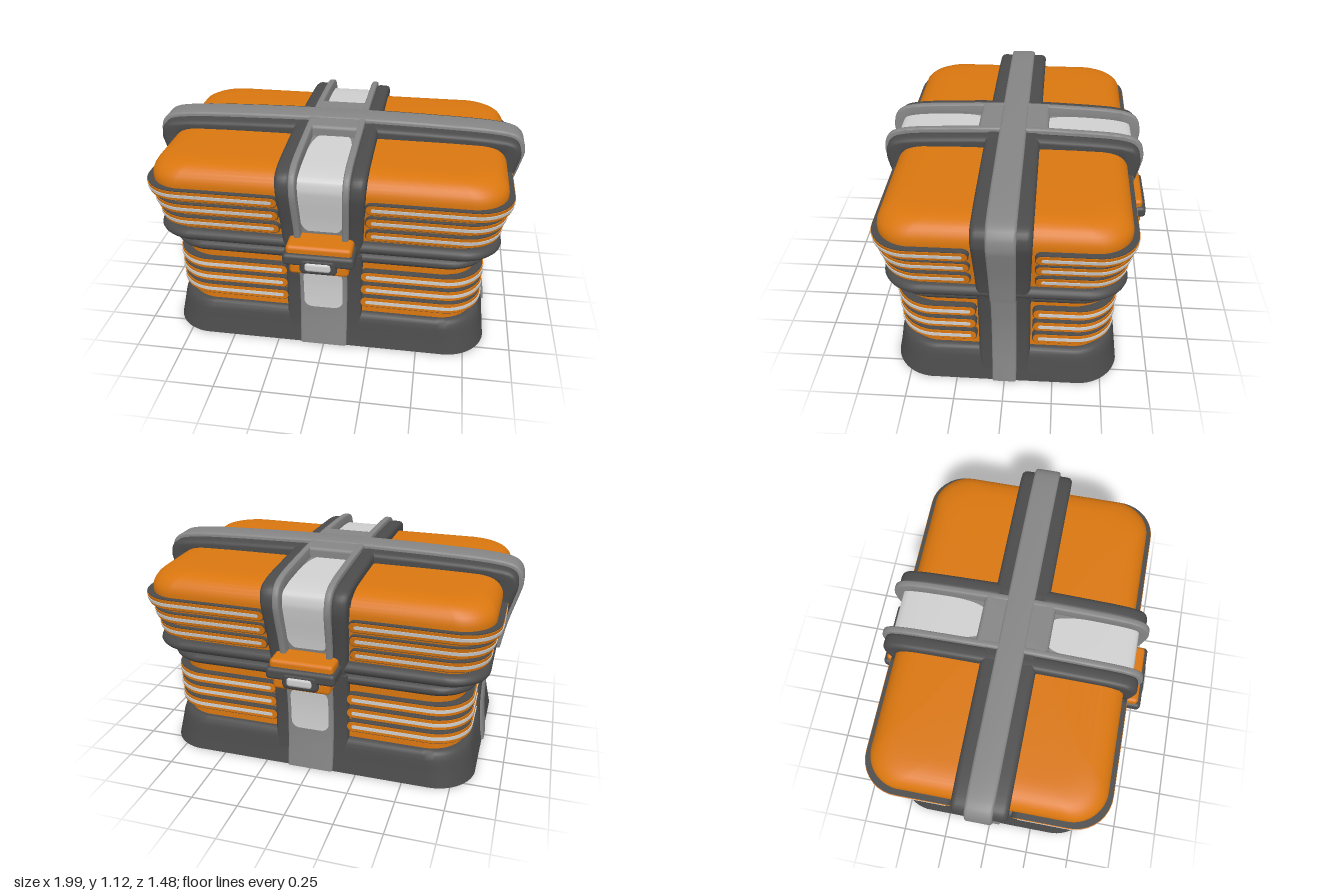
import * as THREE from 'three';
import { toCreasedNormals } from 'three/addons/utils/BufferGeometryUtils.js';
import { RoundedBoxGeometry } from 'three/addons/geometries/RoundedBoxGeometry.js';

const paint = (name, color) => {
  const m = new THREE.MeshStandardMaterial({ color, side: THREE.DoubleSide });
  m.name = name;
  return m;
};

export function createModel() {
  const orange = paint('orange', 0xd9760f);
  const dark = paint('dark grey', 0x4b4b4b);
  const light = paint('mid grey', 0x858585);
  const white = paint('pale grey', 0xcfcfcf);

  const root = new THREE.Group();
  root.name = 'crate';
  const add = (name, geo, mat, parent = root) => {
    const m = new THREE.Mesh(geo, mat);
    m.name = name;
    parent.add(m);
    return m;
  };

  // Grid surface whose points come from a rule fn(u, v)
  const grid = (nu, nv, fn, crease = 0.7) => {
    const g = new THREE.PlaneGeometry(1, 1, nu, nv);
    const p = g.attributes.position;
    for (let j = 0, i = 0; j <= nv; j++)
      for (let k = 0; k <= nu; k++, i++) p.setXYZ(i, ...fn(k / nu, j / nv));
    return toCreasedNormals(g, crease);
  };

  // Stack of rounded rectangles; rows are [y, halfX, halfZ]
  const shell = (name, rows, r, mat) => {
    const curve = new THREE.CatmullRomCurve3(rows.map(([y, a, b]) => new THREE.Vector3(a, y, b)), false, 'centripetal');
    add(name, grid(64, (rows.length - 1) * 3, (u, v) => {
      const q = curve.getPoint(v), a = u * Math.PI * 2, c = Math.cos(a), s = Math.sin(a);
      const k = Math.min(r, q.x, q.z);
      return [Math.sign(c) * (q.x - k) + c * k, q.y, (u === 0 || u === 1 ? 0 : Math.sign(s) * (q.z - k)) + s * k];
    }), mat);
  };

  // Point on a profile curve, pushed outward by g
  const push = (curve, t, g) => {
    const p = curve.getPoint(t), d = curve.getTangent(t);
    return new THREE.Vector2(p.x + d.y * g, p.y - d.x * g);
  };
  const spline = pts => new THREE.SplineCurve(pts.map(p => new THREE.Vector2(...p)));
  const arch = pts => spline([...pts, ...pts.slice(0, -1).reverse().map(([x, y]) => [-x, y])]);

  // Bar following a profile: extruded sideways, along x ('x') or z ('z') direction
  const bar = (name, curve, gOut, gIn, width, centre, axis, bevel, mat, parent = root) => {
    const n = 56, out = [], inn = [];
    const y0 = curve.points[0].y, y1 = curve.points[curve.points.length - 1].y;
    for (let i = 0; i <= n; i++) {
      const a = push(curve, i / n, gOut), b = push(curve, i / n, gIn);
      if (i === 0) a.y = b.y = y0;
      if (i === n) a.y = b.y = y1;
      out.push(a);
      inn.unshift(b);
    }
    let g = new THREE.ExtrudeGeometry(new THREE.Shape([...out, ...inn]), {
      depth: width - 2 * bevel, bevelThickness: bevel, bevelSize: bevel, bevelOffset: -bevel, bevelSegments: 3, steps: 1,
    });
    g.translate(0, 0, bevel - width / 2 + centre);
    // bars widen slightly towards the top of the lid
    const p = g.attributes.position;
    for (let i = 0; i < p.count; i++) p.setZ(i, p.getZ(i) * (1 + 0.25 * Math.max(0, p.getY(i) - 0.59)));
    if (axis === 'z') g.rotateY(-Math.PI / 2);
    add(name, toCreasedNormals(g, 0.6), mat, parent);
  };

  // Thin inlay with rounded ends lying on a front profile between t0 and t1
  const inlay = (name, curve, t0, t1, half, g, parent) => {
    const len = push(curve, t0, g).distanceTo(push(curve, t1, g)), r = 0.045;
    add(name, grid(8, 40, (u, v) => {
      const w = (1 - Math.cos(v * Math.PI)) / 2, q = push(curve, t0 + (t1 - t0) * w, g);
      const d = Math.min(w, 1 - w) * len;
      const h = d < r ? half - r + Math.sqrt(r * r - (r - d) ** 2) : half;
      return [(u * 2 - 1) * h, q.y, q.x];
    }), white, parent);
  };

  // Shells
  shell('base', [[0, .86, .59], [.08, .845, .575], [.17, .825, .56], [.19, .81, .545], [.197, .77, .51]], .22, dark);
  shell('lowerPanels', [[.18, .785, .525], [.35, .78, .52], [.56, .785, .525]], .19, orange);
  shell('bodyRim', [[.515, .77, .51], [.525, .818, .552], [.55, .832, .567], [.573, .822, .555], [.58, .77, .51]], .2, dark);
  shell('lidRim', [[.592, .83, .53], [.6, .878, .583], [.627, .895, .6], [.653, .882, .587], [.662, .84, .54]], .2, dark);
  shell('lidPanels', [[.6, .85, .55], [.75, .872, .572], [.88, .9, .6], [.95, .9, .6], [1, .868, .565],
    [1.025, .81, .505], [1.032, .7, .4], [1.035, .35, .2], [1.035, .01, .01]], .18, orange);

  // Profiles of the frame
  const lidX = arch([[.885, .59], [.915, .75], [.962, .92], [.973, .98], [.95, 1.04], [.86, 1.066], [.6, 1.08], [0, 1.09]]);
  const lidZ = arch([[.595, .59], [.622, .75], [.658, .9], [.667, .97], [.645, 1.035], [.57, 1.064], [.4, 1.078], [0, 1.09]]);
  const bodyX = spline([[.855, 0], [.835, .2], [.835, .38], [.858, .58]]);
  const bodyZ = spline([[.583, 0], [.563, .2], [.563, .38], [.585, .58]]);

  // Lid frame
  bar('lidSideFrame', lidX, 0, -.085, .255, 0, 'x', .024, dark);
  bar('lidSideBand', lidX, .023, -.092, .125, 0, 'x', .012, light);
  for (const s of [-1, 1]) {
    bar('lidFrontFrame', lidZ, 0, -.085, .075, s * .163, 'z', .022, dark);
    bar('lidRail', lidZ, .02, -.06, .03, s * .118, 'z', .008, light);
  }
  bar('lidChannel', lidZ, -.036, -.095, .24, 0, 'z', .004, light);
  const hub = add('lidHub', new RoundedBoxGeometry(.29, .1, .37, 3, .02), light);
  hub.position.y = 1.057;

  // Body frame on the two ends
  for (const a of [0, Math.PI]) {
    const end = new THREE.Group();
    end.name = 'bodyEnd';
    end.rotation.y = a;
    root.add(end);
    bar('bodySideFrame', bodyX, 0, -.07, .26, 0, 'x', .02, dark, end);
    bar('bodySideBand', bodyX, .015, -.078, .125, 0, 'x', .01, light, end);
  }

  // Front and back: centre band, inlays and latch
  const findT = (curve, test) => {
    let t = 0;
    while (t < 1 && !test(curve.getPoint(t))) t += .002;
    return t;
  };
  for (const a of [0, Math.PI]) {
    const face = new THREE.Group();
    face.name = a ? 'backFace' : 'frontFace';
    face.rotation.y = a;
    root.add(face);
    bar('bodyFrontFrame', bodyZ, 0, -.065, .4, 0, 'z', .02, dark, face);
    bar('bodyFrontBand', bodyZ, .016, -.072, .25, 0, 'z', .01, light, face);
    const b0 = findT(bodyZ, p => p.y > .235), b1 = findT(bodyZ, p => p.y > .48);
    const l0 = findT(lidZ, p => p.y > .7), l1 = findT(lidZ, p => p.x < .18);
    for (const g of [.019, -.076]) inlay('bodyInlay', bodyZ, b0, b1, .102, g, face);
    for (const g of [-.032, -.099]) inlay('lidInlay', lidZ, l0, l1, .112, g, face);

    const block = (name, w, y0, y1, z0, z1, r, mat) => {
      const m = add(name, new RoundedBoxGeometry(w, y1 - y0, z1 - z0, 3, r), mat, face);
      m.position.set(0, (y0 + y1) / 2, (z0 + z1) / 2);
    };
    block('latchTop', .33, .63, .692, .56, .712, .02, orange);
    block('latchBody', .36, .59, .654, .54, .732, .02, dark);
    block('latchLower', .3, .53, .6, .54, .712, .02, orange);
    block('latchFoot', .25, .488, .54, .54, .64, .018, dark);
    block('latchBezel', .19, .545, .64, .6, .736, .025, dark);
    block('latchButton', .14, .565, .622, .7, .742, .02, white);
  }

  // Ribs wrapped round each corner; sx and sz pick the corner
  const strap = (name, o, sx, sz, inset, half, off, depth, mat) => {
    const { y, hx, hz, r, x0, z0, lean } = o;
    const l1 = hx - r - x0, arc = r * Math.PI / 2, L = l1 + arc + hz - r - z0;
    const section = [[-1, -depth], [-1, 0], [1, 0], [1, -depth]];
    add(name, grid(48, 3, (u, v) => {
      const s = inset + (L - 2 * inset) * (1 - Math.cos(u * Math.PI)) / 2;
      const d = Math.min(s - inset, L - inset - s);
      const e = d < half ? Math.sqrt(Math.max(0, 1 - (1 - d / half) ** 2)) : 1;
      const a = Math.min(1, Math.max(0, (s - l1) / arc)) * Math.PI / 2;
      const nx = Math.sin(a), nz = Math.cos(a);
      const [k, w] = section[Math.round(v * 3)], dy = k * half * e;
      const g = r + off + w + lean * dy;
      const px = s < l1 ? x0 + s : hx - r;
      const pz = s > l1 + arc ? hz - r - (s - l1 - arc) : hz - r;
      return [sx * (px + nx * g), y + dy, sz * (pz + nz * g)];
    }, 0.6), mat);
  };
  const ribs = [
    ...[[.877, .93, .627], [.795, .905, .61], [.712, .888, .595]].map(([y, hx, hz]) => ({ y, hx, hz, r: .19, x0: .215, z0: .15, lean: .2 })),
    ...[.44, .358, .275].map((y, i) => ({ y, hx: .82, hz: .562 - i * .004, r: .2, x0: .19, z0: .14, lean: 0 })),
  ];
  for (const o of ribs) for (const sx of [-1, 1]) for (const sz of [-1, 1]) {
    strap('ribEdge', o, sx, sz, 0, .031, -.004, .042, dark);
    strap('rib', o, sx, sz, .005, .026, 0, .006, orange);
    strap('ribStripe', o, sx, sz, .03, .009, .004, .005, white);
  }
  return root;
}
